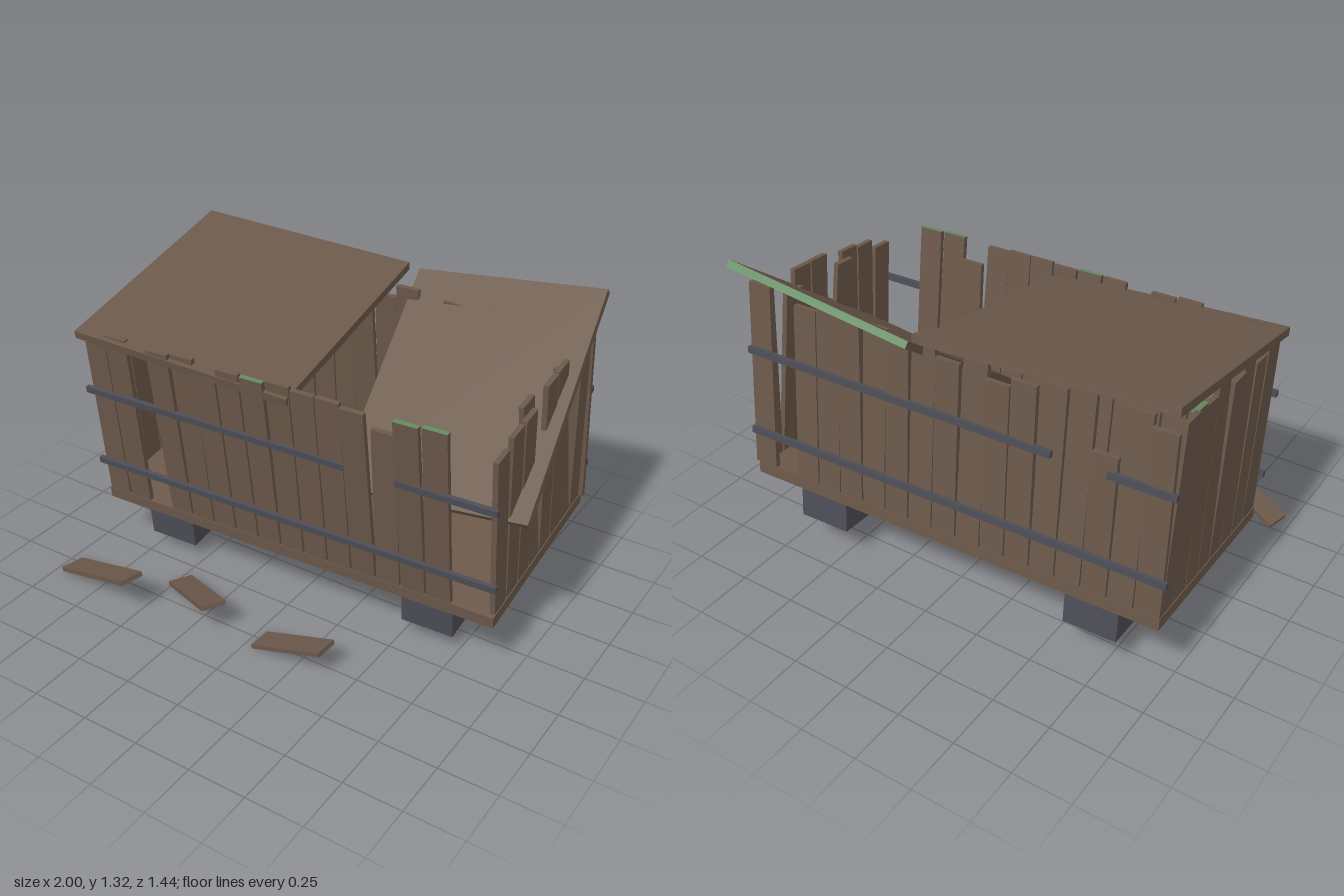
import * as THREE from 'three';

const material = (name, color) => {
  const m = new THREE.MeshStandardMaterial({ color });
  m.name = name;
  return m;
};

export function createModel() {
  const wood = material('wood', 0x6b584a);
  const iron = material('darkGrey', 0x4d4d57);
  const moss = material('mossGreen', 0x5f8a5c);
  const model = new THREE.Group();
  model.name = 'brokenCrate';

  // Small repeatable wobble for the boards
  let seed = 7;
  const wobble = (amount) => {
    seed = (seed * 16807) % 2147483647;
    return (seed / 2147483647 - 0.5) * 2 * amount;
  };

  const box = (parent, name, size, pos, mat) => {
    const mesh = new THREE.Mesh(new THREE.BoxGeometry(...size), mat);
    mesh.name = name;
    mesh.position.set(...pos);
    parent.add(mesh);
    return mesh;
  };

  // Slab given its centre, length direction u and width direction v
  const slab = (name, centre, u, v, size, mat) => {
    const mesh = box(model, name, size, centre, mat);
    const x = new THREE.Vector3(...u).normalize();
    const y = new THREE.Vector3(...v).cross(x).normalize();
    const z = new THREE.Vector3().crossVectors(x, y);
    mesh.quaternion.setFromRotationMatrix(new THREE.Matrix4().makeBasis(x, y, z));
    return mesh;
  };

  // Tilted crate body: x is the long side, y = 0 the underside of the floor
  const crate = new THREE.Group();
  crate.name = 'crate';
  crate.position.set(-0.03, 0.27, -0.225);
  crate.rotation.set(0.095, 0.04, 0);
  model.add(crate);
  box(crate, 'floor', [1.87, 0.05, 0.9], [0, 0.025, 0], wood);

  // Skids and rails below the floor
  for (const x of [-0.64, 0.627]) {
    box(crate, 'skid', [0.23, 0.128, 0.82], [x, -0.1, 0], iron);
  }
  for (const z of [-0.15, 0.15]) {
    box(crate, 'rail', [1.69, 0.11, 0.11], [-0.01, -0.055, z], iron);
  }

  // Board hinged at the floor; lean tips its top outward, skew sideways
  const board = (parent, name, height, width, x, z, turn, lean, skew, green) => {
    const pivot = new THREE.Group();
    pivot.name = name;
    pivot.position.set(x, 0.05, z);
    pivot.rotation.order = 'YXZ';
    pivot.rotation.set(lean, turn, skew);
    const mat = green ? [wood, wood, moss, wood, wood, wood] : wood;
    box(pivot, name + 'Wood', [width, height, 0.022], [0, height / 2, 0], mat);
    parent.add(pivot);
  };

  // Height 0 marks a missing board
  const front = [0.77, 0.82, 0, 0.82, 0.82, 0.79, 0.82, 0.82, 0.82, 0.82, 0.82, 0.81, 0.73, 0.82, 0.82, 0, 0];
  const back = [0.77, 0.81, 0.6, 0.82, 0.8, 0.78, 0.74, 0.8, 0.76, 0.82, 0.77, 0.8, 0.79, 0.82, 0.78, 0, 0.82];
  const right = [0.72, 0.76, 0.77, 0.76, 0.8, 0.8, 0.745, 0.76];
  const left = [0.78, 0.76, 0.8, 0.78, 0.8, 0.77, 0.79, 0.81];

  front.forEach((h, i) => {
    if (h) board(crate, 'frontBoard', h, 0.104, -0.878 + i * 0.1125, 0.436, 0,
      0.025 + wobble(0.025), wobble(0.006), [7, 13, 14].includes(i));
  });
  back.forEach((h, i) => {
    if (h) board(crate, 'backBoard', h, 0.105, -0.88 + i * 0.1112, -0.436, Math.PI,
      wobble(0.02), wobble(0.008), i === 3);
  });
  right.forEach((h, i) => {
    const lean = i === 3 || i === 6 ? -0.06 : wobble(0.015);
    board(crate, 'rightBoard', h, 0.1, 0.92, 0.375 - i * 0.108, Math.PI / 2, lean, wobble(0.018));
  });
  left.forEach((h, i) => {
    board(crate, 'leftBoard', h, 0.103, -0.92, 0.375 - i * 0.108, -Math.PI / 2,
      wobble(0.015), wobble(0.012), i === 6);
  });

  // Iron straps: [x start, x end, y, z]
  const straps = [
    [-0.95, 0.95, 0.21, 0.46], [-0.95, 0.305, 0.58, 0.465], [0.53, 0.95, 0.58, 0.465],
    [-0.95, 0.95, 0.21, -0.458], [-0.45, 0.95, 0.58, -0.458], [-0.95, -0.68, 0.58, -0.458],
  ];
  for (const [a, b, y, z] of straps) {
    box(crate, 'strap', [b - a, 0.028, 0.02], [(a + b) / 2, y, z], iron);
  }

  // Split lid: left half still resting on top, right half fallen in
  slab('leftLid', [-0.474, 1.148, -0.154], [1.02, -0.04, -0.05], [0.035, -0.2, 1],
    [1.022, 0.035, 1.02], wood);
  slab('rightLid', [0.525, 0.943, -0.305], [0.84, 0.1, -0.02], [0.1, -0.63, 0.815],
    [0.845, 0.03, 1.035], [wood, wood, wood, wood, wood, moss]);

  // Loose boards lying in front
  slab('looseBoard', [-0.73, 0.097, 0.597], [0.45, 0.17, 0.11], [-0.11, 0, 0.45], [0.49, 0.02, 0.106], wood);
  slab('looseBoard', [-0.31, 0.08, 0.475], [0.35, 0.14, 0.21], [-0.21, 0, 0.35], [0.42, 0.02, 0.106], wood);
  slab('looseBoard', [0.21, 0.067, 0.523], [0.335, 0.115, 0.015], [-0.015, 0, 0.335], [0.355, 0.018, 0.106], wood);

  return model;
}
